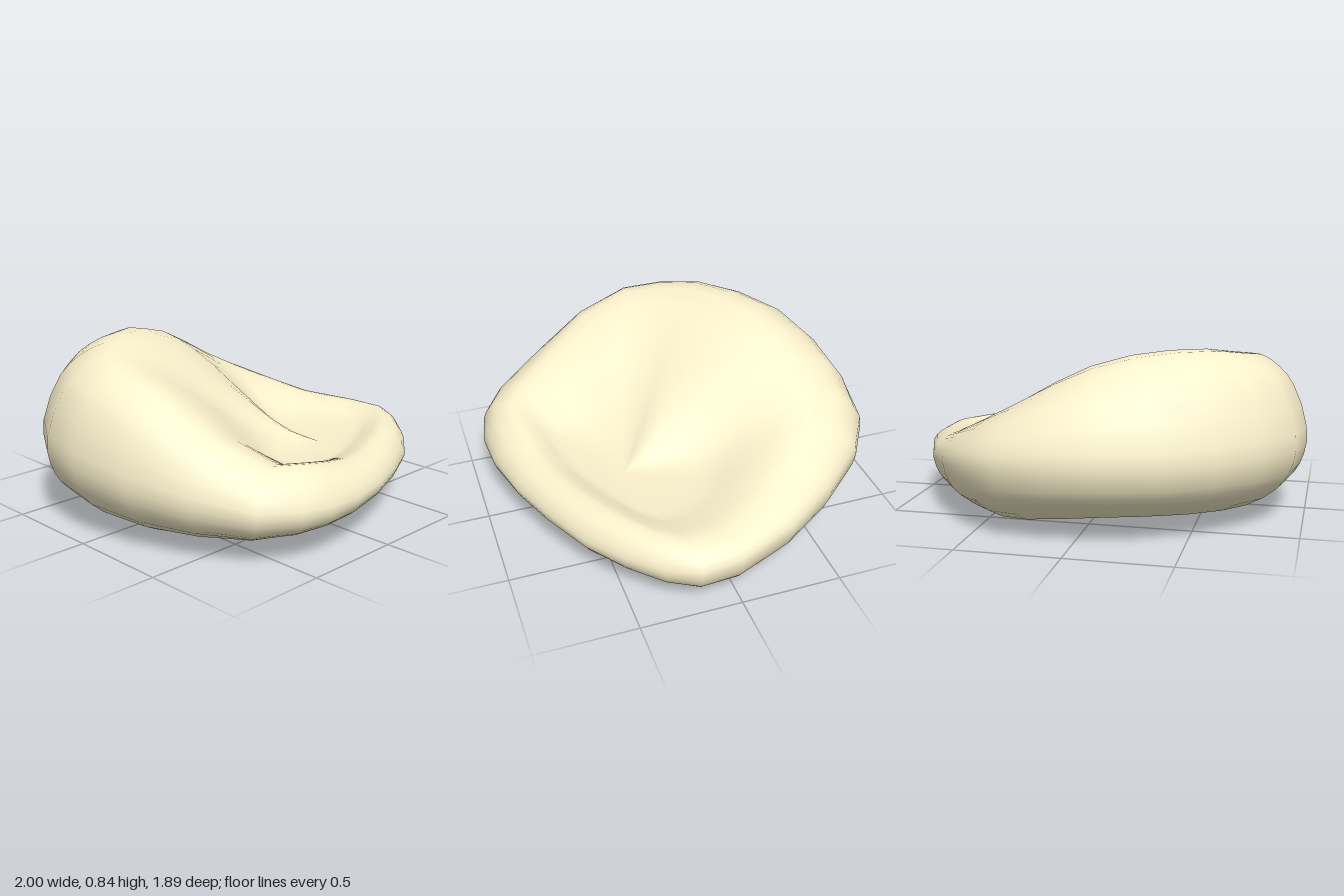
import * as THREE from 'three';
import { mergeVertices } from 'three/addons/utils/BufferGeometryUtils.js';

// One row per station around the cushion:
// outline x, outline z, height of widest point, rim crest height, crest inset (0..1 towards the seat)
const STATIONS = [
  [0.99, 0.0, 0.25, 0.335, 0.2], [0.87, -0.3, 0.27, 0.36, 0.22], [0.71, -0.57, 0.32, 0.44, 0.24],
  [0.53, -0.79, 0.37, 0.52, 0.25], [0.34, -0.91, 0.4, 0.6, 0.26], [0.1, -0.95, 0.42, 0.7, 0.27],
  [-0.14, -0.93, 0.42, 0.78, 0.28], [-0.4, -0.86, 0.42, 0.83, 0.28], [-0.64, -0.72, 0.42, 0.845, 0.28],
  [-0.83, -0.53, 0.42, 0.84, 0.26], [-0.96, -0.31, 0.41, 0.81, 0.24], [-1.0, -0.05, 0.4, 0.78, 0.22],
  [-0.95, 0.26, 0.36, 0.69, 0.21], [-0.83, 0.55, 0.31, 0.54, 0.2], [-0.67, 0.8, 0.27, 0.43, 0.2],
  [-0.49, 0.91, 0.26, 0.425, 0.21], [-0.33, 0.94, 0.25, 0.39, 0.27], [-0.13, 0.925, 0.24, 0.355, 0.31],
  [0.12, 0.86, 0.23, 0.34, 0.33], [0.35, 0.77, 0.23, 0.34, 0.34], [0.6, 0.64, 0.22, 0.34, 0.32],
  [0.78, 0.5, 0.22, 0.34, 0.28], [0.92, 0.35, 0.22, 0.335, 0.23], [1.0, 0.2, 0.23, 0.335, 0.2],
];
const SEAT = { x: 0.25, y: 0.295, z: 0.35 };
const PROFILE_STEPS = 28;
const { lerp } = THREE.MathUtils;

// Underside: a gentle saddle, lower towards the two sides
function undersideY(x, z) {
  const s = 0.9 * x - 0.43 * z;
  return 0.07 - (s > 0 ? 0.17 : 0.07) * s * s + 0.06 * z * z;
}

// Cross-section from the middle of the underside, over the rim, to the middle of the seat
function profile([x, z, midY, crestY, inset]) {
  const pts = [];
  const under = (f, y) => pts.push(new THREE.Vector3(x * f, y, z * f));
  const over = (t, y) => pts.push(new THREE.Vector3(lerp(x, SEAT.x, t), y, lerp(z, SEAT.z, t)));

  // Underside and lower bulge
  const low = undersideY(x * 0.72, z * 0.72);
  under(0, undersideY(0, 0));
  under(0.4, undersideY(x * 0.4, z * 0.4));
  under(0.72, low);
  under(0.91, lerp(low, midY, 0.33));
  under(0.975, lerp(low, midY, 0.6));

  // Outer wall up to the rim crest
  over(0, midY);
  over(inset * 0.27, lerp(midY, crestY, 0.62));
  over(inset * 0.6, lerp(midY, crestY, 0.88));
  over(inset, crestY);

  // Inner slope, longer where the rim is higher, then the seat
  const reach = 0.3 + 0.6 * (crestY - 0.34);
  over(inset + reach * 0.3, lerp(SEAT.y, crestY, 0.83));
  over(inset + reach * 0.65, lerp(SEAT.y, crestY, 0.46));
  over(inset + reach, lerp(SEAT.y, crestY, 0.1));
  over(1, SEAT.y);
  return new THREE.CatmullRomCurve3(pts, false, 'centripetal');
}

function cushionGeometry() {
  const positions = [];
  for (const station of STATIONS) {
    for (const p of profile(station).getPoints(PROFILE_STEPS)) positions.push(p.x, p.y, p.z);
  }

  const index = [];
  const at = (i, j) => (i % STATIONS.length) * (PROFILE_STEPS + 1) + j;
  for (let i = 0; i < STATIONS.length; i++) {
    for (let j = 0; j < PROFILE_STEPS; j++) {
      const a = at(i, j), b = at(i + 1, j), c = at(i + 1, j + 1), d = at(i, j + 1);
      // Single triangles at the two centre points
      if (j === 0) index.push(a, c, d);
      else if (j === PROFILE_STEPS - 1) index.push(a, b, d);
      else index.push(a, b, d, b, c, d);
    }
  }
  const geometry = new THREE.BufferGeometry();
  geometry.setAttribute('position', new THREE.Float32BufferAttribute(positions, 3));
  geometry.setIndex(index);
  const welded = mergeVertices(geometry, 1e-4);
  welded.computeVertexNormals();
  return welded;
}

export function createModel() {
  const group = new THREE.Group();
  group.name = 'beanBagSeat';

  // Soft cushion with a raised back, a hollow seat and a low front lip
  const cushion = new THREE.Mesh(cushionGeometry(), new THREE.MeshStandardMaterial({ color: 0xfaf1cc }));
  cushion.name = 'cushion';
  group.add(cushion);
  return group;
}
